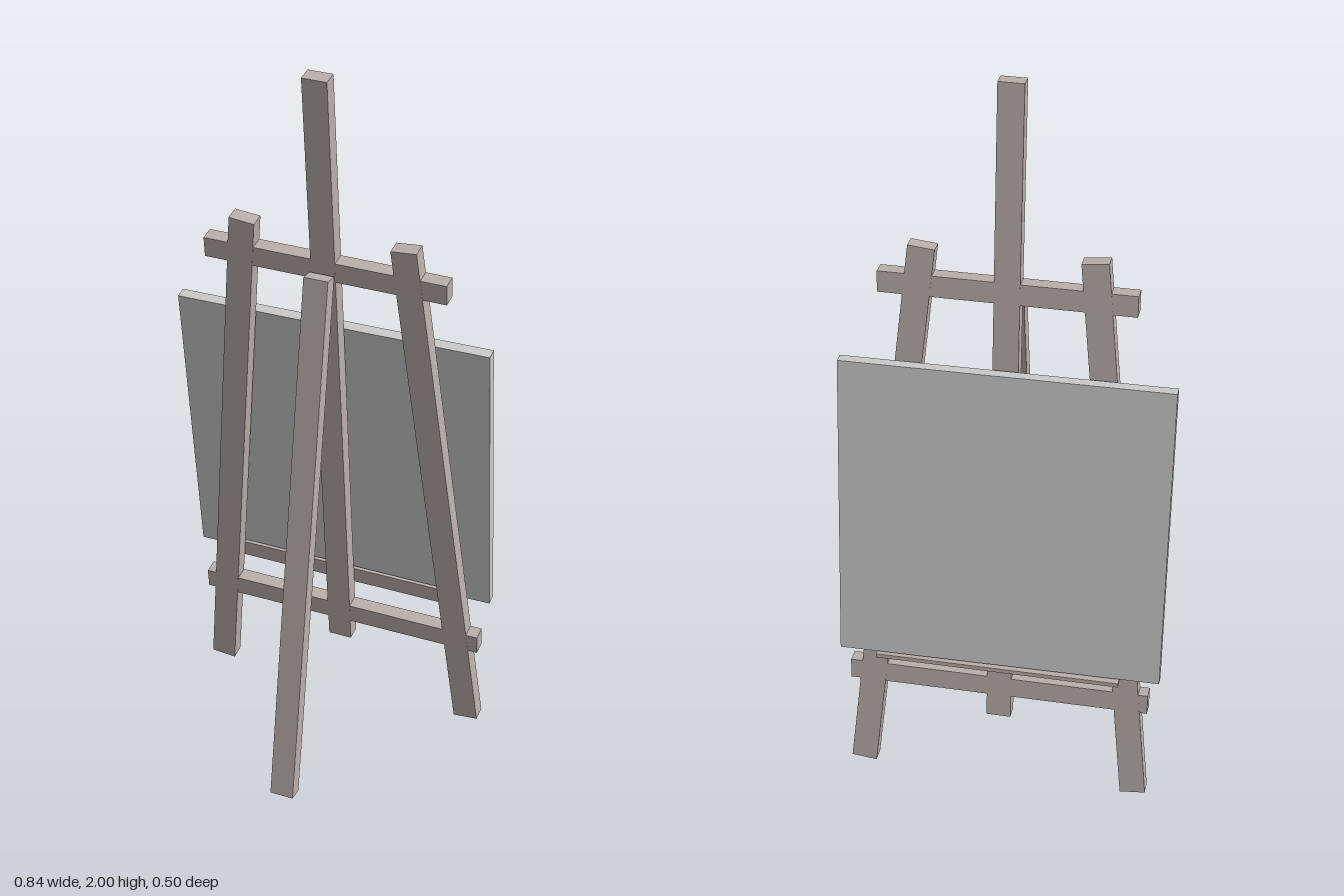
import * as THREE from 'three';

const wood = new THREE.MeshStandardMaterial({ color: 0xbbb0ac, flatShading: true });
const grey = new THREE.MeshStandardMaterial({ color: 0xcccccc, flatShading: true });

function box(parent, name, size, position, material = wood) {
  const mesh = new THREE.Mesh(new THREE.BoxGeometry(...size), material);
  mesh.name = name;
  mesh.position.set(...position);
  parent.add(mesh);
  return mesh;
}

// square-ended beam running from a to b
function beam(parent, name, a, b, width, depth) {
  const from = new THREE.Vector3(...a);
  const to = new THREE.Vector3(...b);
  const mid = from.clone().add(to).multiplyScalar(0.5);
  const mesh = box(parent, name, [width, from.distanceTo(to), depth], mid.toArray());
  mesh.quaternion.setFromUnitVectors(new THREE.Vector3(0, 1, 0), to.sub(from).normalize());
  return mesh;
}

export function createModel() {
  const easel = new THREE.Group();
  easel.name = 'easel';

  // leaning frame, hinged at the top of the mast
  const frame = new THREE.Group();
  frame.name = 'leaningFrame';
  frame.position.set(0.006, 2, 0);
  frame.rotation.x = Math.atan(0.108);
  easel.add(frame);

  beam(frame, 'mast', [0, -1.76, 0], [0, -0.002, 0], 0.064, 0.04);
  for (const [side, name] of [[1, 'leftLeg'], [-1, 'rightLeg']]) {
    beam(frame, name, [side * 0.365, -1.953, 0], [side * 0.21, -0.433, 0], 0.067, 0.04);
  }
  box(frame, 'upperCrossbar', [0.635, 0.055, 0.039], [0.001, -0.533, 0]);
  box(frame, 'lowerCrossbar', [0.79, 0.055, 0.039], [0.003, -1.668, 0]);

  // tray: thin back strip with a ledge along its lower edge
  box(frame, 'trayBack', [0.636, 0.046, 0.01], [-0.002, -1.559, -0.025]);
  box(frame, 'trayLedge', [0.636, 0.011, 0.059], [-0.002, -1.577, -0.0495]);

  // board resting on the tray, very slightly turned
  const board = box(easel, 'board', [0.834, 0.832, 0.031], [-0.001, 0.861, -0.172], grey);
  board.rotation.set(0.119, 0.015, 0.002);

  // prop leg on the far side of the frame
  beam(easel, 'propLeg', [0.006, 0.004, 0.228], [0.006, 1.465, -0.011], 0.064, 0.041);

  return easel;
}
